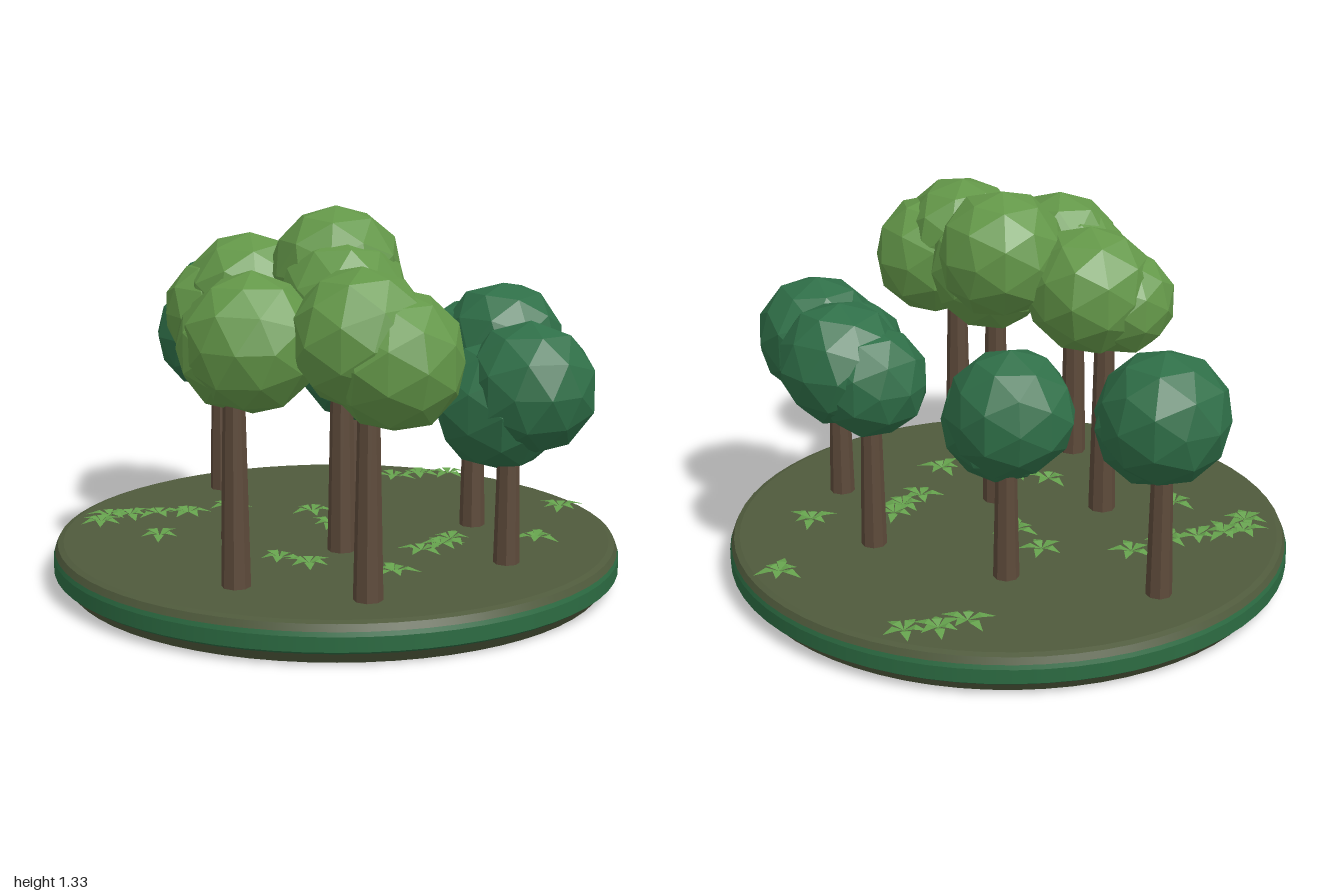
import * as THREE from 'three';

const flat = (color, side = THREE.FrontSide) => {
  const m = new THREE.MeshStandardMaterial({ color, side });
  m.flatShading = true;
  return m;
};
const named = (name, m) => { m.name = name; return m; };

const mats = {
  soil: named('olive soil', flat(0x4f5a3c)),
  band: named('green rim', flat(0x2c6b42)),
  bark: named('brown bark', flat(0x5d4a3a)),
  dark: named('dark leaf green', flat(0x2f6f48)),
  light: named('light leaf green', flat(0x649849)),
  plant: named('ground plant green', flat(0x64a04c, THREE.DoubleSide)),
};
mats.soil.flatShading = mats.band.flatShading = false;

const GROUND = 0.145;

// each tree: leaf colour, trunk x/z, blobs of foliage [x, y, z, radius]
const TREES = [
  ['dark', -0.74, -0.055, [[-0.79, 0.82, -0.115, 0.22], [-0.72, 0.755, 0.005, 0.2], [-0.75, 0.78, -0.1, 0.205]]],
  ['dark', -0.28, -0.31, [[-0.33, 0.765, -0.34, 0.215], [-0.21, 0.68, -0.27, 0.2]]],
  ['dark', 0.23, -0.445, [[0.32, 0.815, -0.495, 0.215], [0.22, 0.765, -0.45, 0.195]]],
  ['dark', 0.64, -0.22, [[0.69, 0.75, -0.265, 0.22], [0.59, 0.685, -0.22, 0.22]]],
  ['light', -0.155, 0.325, [[-0.14, 0.995, 0.26, 0.225], [-0.215, 0.95, 0.34, 0.185]]],
  ['light', 0.175, 0.115, [[0.125, 1.105, 0.1, 0.225], [0.225, 1.02, 0.15, 0.22]]],
  ['light', 0.27, 0.64, [[0.3, 0.95, 0.59, 0.225], [0.25, 0.93, 0.605, 0.205]]],
  ['light', 0.65, 0.4, [[0.605, 0.985, 0.39, 0.23], [0.69, 0.92, 0.33, 0.225]]],
];

// ground plant positions [x, z]
const PLANTS = [
  [-0.32, -0.83], [-0.385, -0.74], [-0.42, -0.64], [0.29, -0.83], [-0.48, 0.11], [-0.51, 0.27],
  [-0.57, 0.36], [-0.62, 0.45], [-0.66, 0.51], [-0.61, 0.58], [-0.335, 0.52], [0.52, -0.48],
  [0.34, -0.24], [0.37, -0.17], [0.38, -0.07], [0.5, 0.16], [0.14, 0.36], [0.25, 0.32],
  [-0.24, -0.09], [-0.07, -0.04],
];

function addMesh(parent, name, geometry, material, x = 0, y = 0, z = 0) {
  const m = new THREE.Mesh(geometry, material);
  m.name = name;
  m.position.set(x, y, z);
  parent.add(m);
  return m;
}

// faceted ball with slightly uneven corners
function blobGeometry(r, seed) {
  const g = new THREE.IcosahedronGeometry(1, 1);
  const p = g.attributes.position;
  for (let i = 0; i < p.count; i++) {
    const [a, b, c] = [p.getX(i), p.getY(i), p.getZ(i)].map((v) => Math.round(v * 100) / 100);
    const k = r * (1.01 + 0.025 * Math.sin(a * 17 + b * 31 + c * 23 + seed * 5));
    p.setXYZ(i, a * k, b * k, c * k);
  }
  g.computeVertexNormals();
  return g;
}

// ring of drooping pointed leaves
function plantGeometry(count, seed) {
  const pos = [];
  for (let i = 0; i < count; i++) {
    const t = (i / count) * Math.PI * 2 + seed * 1.7;
    const len = 0.08 + 0.018 * Math.sin(seed * 7 + i * 3.1);
    const at = (u, y, w) => [u * Math.cos(t) - w * Math.sin(t), y, u * Math.sin(t) + w * Math.cos(t)];
    const base = at(0, 0.01, 0), l = at(len * 0.45, 0.024, -0.018);
    const r = at(len * 0.45, 0.024, 0.018), tip = at(len, 0.012, 0);
    pos.push(...base, ...r, ...l, ...l, ...r, ...tip);
  }
  const g = new THREE.BufferGeometry();
  g.setAttribute('position', new THREE.Float32BufferAttribute(pos, 3));
  g.computeVertexNormals();
  return g;
}

// lathe with crisp profile edges: one band per profile segment
function addLathe(parent, name, profile, material) {
  const part = new THREE.Group();
  part.name = name;
  for (let i = 0; i + 1 < profile.length; i++) {
    const pts = [profile[i], profile[i + 1]].map(([r, y]) => new THREE.Vector2(r, y));
    addMesh(part, name + 'Face', new THREE.LatheGeometry(pts, 64), material);
  }
  parent.add(part);
}

export function createModel() {
  const model = new THREE.Group();
  model.name = 'grove';

  // round base in three layers
  const base = new THREE.Group();
  base.name = 'base';
  base.position.x = 0.005;
  model.add(base);
  addLathe(base, 'underside', [[0, 0], [0.94, 0], [0.975, 0.04]], mats.soil);
  addLathe(base, 'rim', [[0.975, 0.04], [0.99, 0.05], [0.99, 0.1], [0.985, 0.115]], mats.band);
  addLathe(base, 'ground', [[0.985, 0.115], [0.975, 0.138], [0.955, GROUND], [0, GROUND]], mats.soil);

  // trees
  TREES.forEach(([kind, x, z, blobs], n) => {
    const tree = new THREE.Group();
    tree.name = kind + 'Tree';
    model.add(tree);
    const top = blobs[0][1];
    const h = top - GROUND;
    const wide = kind === 'light' ? 0.049 : 0.045;
    addMesh(tree, 'trunk', new THREE.CylinderGeometry(0.031, wide, h, 8), mats.bark, x, GROUND + h / 2, z);
    blobs.forEach(([bx, by, bz, r], i) => {
      const m = addMesh(tree, 'foliage', blobGeometry(r, n * 3 + i), mats[kind], bx, by, bz);
      m.rotation.y = n * 0.9 + i * 1.3;
    });
  });

  // ground plants
  const plants = new THREE.Group();
  plants.name = 'groundPlants';
  model.add(plants);
  PLANTS.forEach(([x, z], i) => {
    addMesh(plants, 'plant', plantGeometry(5 + (i % 2), i), mats.plant, x, GROUND, z);
  });

  return model;
}
